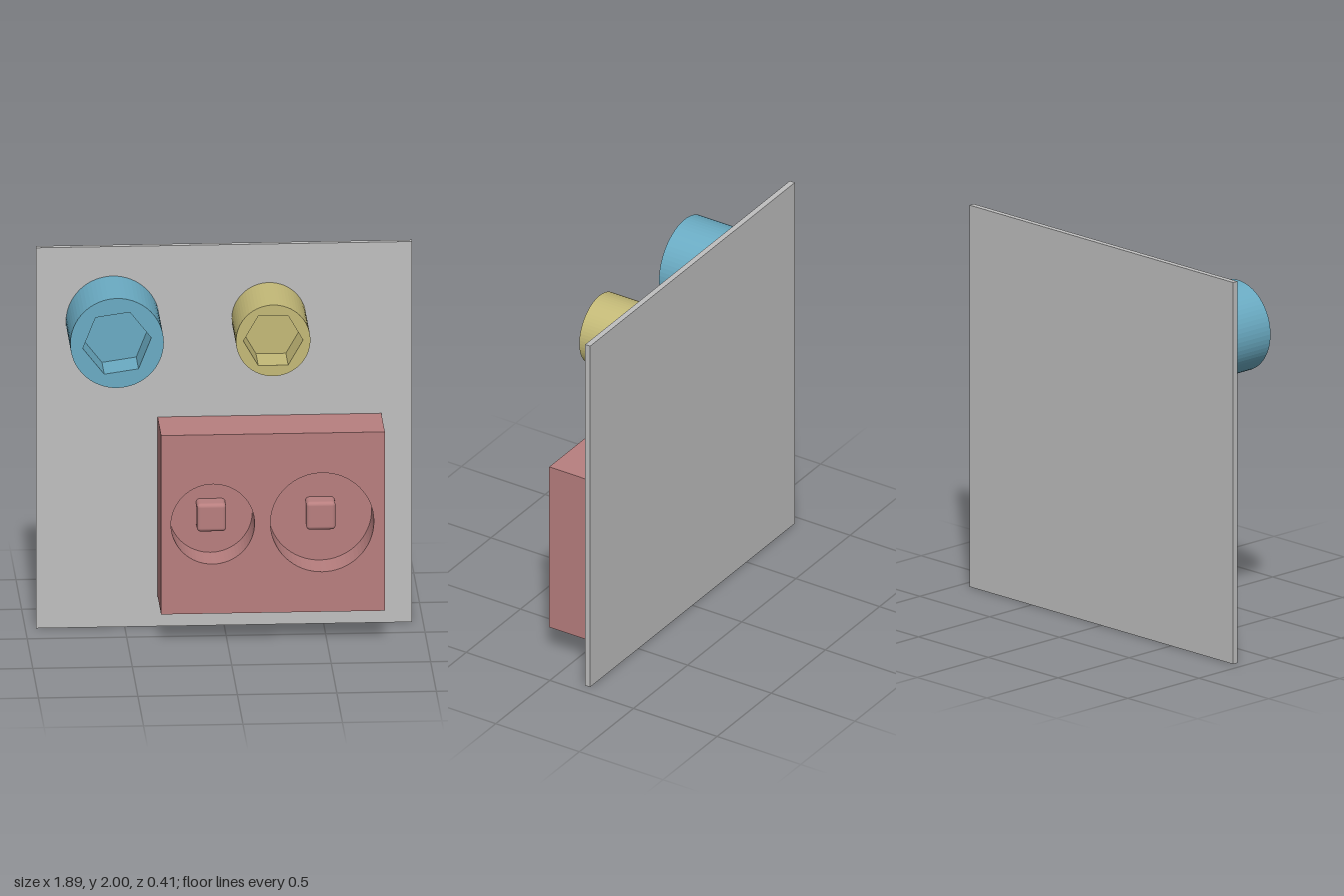
import * as THREE from 'three';
import { RoundedBoxGeometry } from 'three/addons/geometries/RoundedBoxGeometry.js';

const WALL = -0.175; // front face of the backing plate

function material(name, color) {
  const m = new THREE.MeshStandardMaterial({ color });
  m.name = name;
  return m;
}

function circle(PathType, x, y, r) {
  return new PathType().absarc(x, y, r, 0, Math.PI * 2, false);
}

function polygonPath(sides, r, turn) {
  const points = [];
  for (let i = 0; i < sides; i++) {
    const a = turn + (i / sides) * Math.PI * 2;
    points.push(new THREE.Vector2(r * Math.cos(a), r * Math.sin(a)));
  }
  return new THREE.Path(points);
}

// Solid with blind recesses: a closed base up to the floor, then a pierced front
function recessed(name, makeOutline, holes, front, depth, mat) {
  const group = new THREE.Group();
  group.name = name;
  const slab = (part, shape, z0, z1) => {
    const geo = new THREE.ExtrudeGeometry(shape, { depth: z1 - z0, bevelEnabled: false, curveSegments: 32 });
    const mesh = new THREE.Mesh(geo, mat);
    mesh.name = part;
    mesh.position.z = z0;
    group.add(mesh);
  };
  const pierced = makeOutline();
  pierced.holes.push(...holes);
  slab(name + 'Base', makeOutline(), WALL, front - depth);
  slab(name + 'Front', pierced, front - depth, front);
  return group;
}

export function createModel() {
  const model = new THREE.Group();
  model.name = 'wallPanel';
  const grey = material('plateGrey', 0xbfbfbf);
  const blue = material('socketBlue', 0x6bacc4);
  const yellow = material('socketYellow', 0xc4ba78);
  const red = material('blockRed', 0xb87f7f);

  // Backing plate
  const plate = new THREE.Mesh(new THREE.BoxGeometry(1.89, 2, 0.03), grey);
  plate.name = 'backPlate';
  plate.position.set(0, 1, -0.19);
  model.add(plate);

  // Round bosses with hexagonal sockets
  const bosses = [
    ['largeSocket', -0.56, 0.235, 0.174, 0.145, blue],
    ['smallSocket', 0.225, 0.187, 0.15, 0, yellow],
  ];
  for (const [name, x, r, hexR, turn, mat] of bosses) {
    const boss = recessed(name, () => circle(THREE.Shape, 0, 0, r), [polygonPath(6, hexR, turn)], 0.205, 0.2, mat);
    boss.position.set(x, 1.61, 0);
    model.add(boss);
  }

  // Block with two round recesses
  const wells = [[-0.075, 0.21], [0.475, 0.26]];
  const wellY = 0.63;
  const rectangle = () => new THREE.Shape([
    new THREE.Vector2(-0.335, 0.16), new THREE.Vector2(0.79, 0.16),
    new THREE.Vector2(0.79, 1.1), new THREE.Vector2(-0.335, 1.1),
  ]);
  model.add(recessed('block', rectangle, wells.map(([x, r]) => circle(THREE.Path, x, wellY, r)), 0.14, 0.2, red));

  // Rounded square pin standing in each recess
  wells.forEach(([x], i) => {
    const pin = new THREE.Mesh(new RoundedBoxGeometry(0.147, 0.147, 0.147, 4, 0.02), red);
    pin.name = i ? 'rightPin' : 'leftPin';
    pin.position.set(x, wellY, -0.033);
    model.add(pin);
  });

  return model;
}
